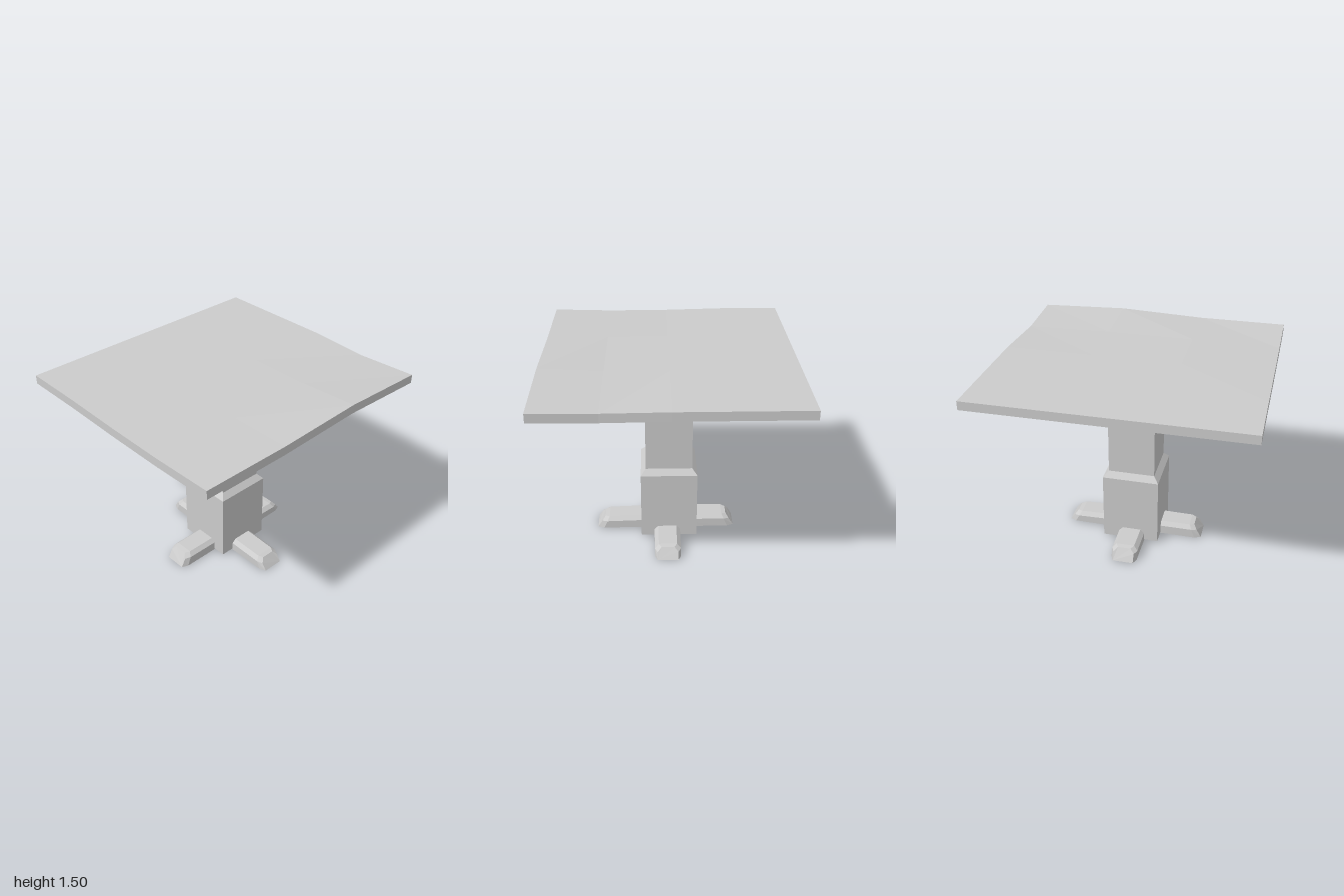
import * as THREE from 'three';

const material = new THREE.MeshStandardMaterial({ color: 0xcccccc, flatShading: true, side: THREE.DoubleSide });

// Skin a series of equal-length rings of [x, y, z] points with flat faces.
function loft(rings, { closed = true, capStart = false, capEnd = false }) {
  const pos = [];
  const tri = (a, b, c) => pos.push(...a, ...b, ...c);
  const n = rings[0].length;
  for (let r = 0; r < rings.length - 1; r++) {
    const a = rings[r], b = rings[r + 1];
    for (let i = 0; i < (closed ? n : n - 1); i++) {
      const j = (i + 1) % n;
      tri(a[i], a[j], b[j]);
      tri(a[i], b[j], b[i]);
    }
  }
  const first = rings[0], last = rings[rings.length - 1];
  for (let i = 1; i < n - 1; i++) {
    if (capStart) tri(first[0], first[i + 1], first[i]);
    if (capEnd) tri(last[0], last[i], last[i + 1]);
  }
  const geo = new THREE.BufferGeometry();
  geo.setAttribute('position', new THREE.Float32BufferAttribute(pos, 3));
  geo.computeVertexNormals();
  return geo;
}

// Chamfered beam along x with slanted, narrowed ends and one open long side.
function beamGeometry(x0, x1, h0, hMid, h1) {
  // slant: how far the crease and the top sit in from the tip
  const ring = (x, base, h, half, slant) => {
    const low = [x, base], crease = [x + slant * 0.6, h - 0.03], top = [x + slant, h];
    return [
      [low, -half], [crease, -half], [top, -half + 0.03],
      [top, half - 0.03], [crease, half], [low, half],
    ].map(([[px, py], w]) => [px, py, w]);
  };
  return loft([
    ring(x0, 0.012, h0 - 0.006, 0.08, 0.06),
    ring(x0 + 0.05, 0.012, h0, 0.1, 0.045),
    ring(0, 0.01, hMid, 0.103, 0),
    ring(x1 - 0.05, 0.006, h1, 0.1, -0.045),
    ring(x1, 0.006, h1 - 0.006, 0.08, -0.06),
  ], { closed: false, capStart: true, capEnd: true });
}

export function createModel() {
  const model = new THREE.Group();
  const add = (name, geometry, parent = model) => {
    const mesh = new THREE.Mesh(geometry, material);
    mesh.name = name;
    parent.add(mesh);
    return mesh;
  };

  // Warped tabletop: height offsets on a 4 x 5 grid, rows from back to front
  const warp = [
    [0, 0, 0, -0.012, 0],
    [0, 0, 0, 0, 0.025],
    [0, 0, 0, 0, 0],
    [0, 0, -0.01, -0.012, 0],
  ];
  const top = new THREE.BoxGeometry(1.85, 0.066, 2, 4, 1, 3);
  const p = top.attributes.position;
  for (let i = 0; i < p.count; i++) {
    const col = Math.round((p.getX(i) / 1.85 + 0.5) * 4);
    const row = Math.round((p.getZ(i) / 2 + 0.5) * 3);
    p.setY(i, p.getY(i) + warp[row][col]);
    if (row === 0 && col === 3) p.setZ(i, -0.985);
  }
  top.computeVertexNormals();
  add('tabletop', top).position.y = 1.453;

  // Square pedestal: thick base, slim shaft, flared head; [height, half width]
  const profile = [[0.02, 0.218], [0.56, 0.218], [0.605, 0.179], [1.175, 0.179], [1.235, 0.26], [1.415, 0.26]];
  const rings = profile.map(([y, h]) => [[h, y, h], [h, y, -h], [-h, y, -h], [-h, y, h]]);
  add('pedestal', loft(rings, { capEnd: true })).position.x = 0.003;

  // Crossed floor feet
  const feet = new THREE.Group();
  feet.name = 'feet';
  model.add(feet);
  add('sideFeet', beamGeometry(-0.52, 0.575, 0.108, 0.112, 0.096), feet).position.z = 0.01;
  const frontFeet = add('frontBackFeet', beamGeometry(-0.545, 0.545, 0.096, 0.11, 0.108), feet);
  frontFeet.rotation.y = -Math.PI / 2;
  frontFeet.position.x = 0.017;

  // Crossed brackets under the tabletop: the same beams, longer and upside down
  const brackets = new THREE.Group();
  brackets.name = 'brackets';
  brackets.position.y = 1.425;
  brackets.rotation.x = Math.PI;
  model.add(brackets);
  add('sideBrackets', beamGeometry(-0.66, 0.71, 0.12, 0.128, 0.115), brackets).position.z = -0.01;
  const frontBrackets = add('frontBackBrackets', beamGeometry(-0.685, 0.685, 0.115, 0.125, 0.12), brackets);
  frontBrackets.rotation.y = -Math.PI / 2;
  frontBrackets.position.x = 0.017;

  return model;
}
